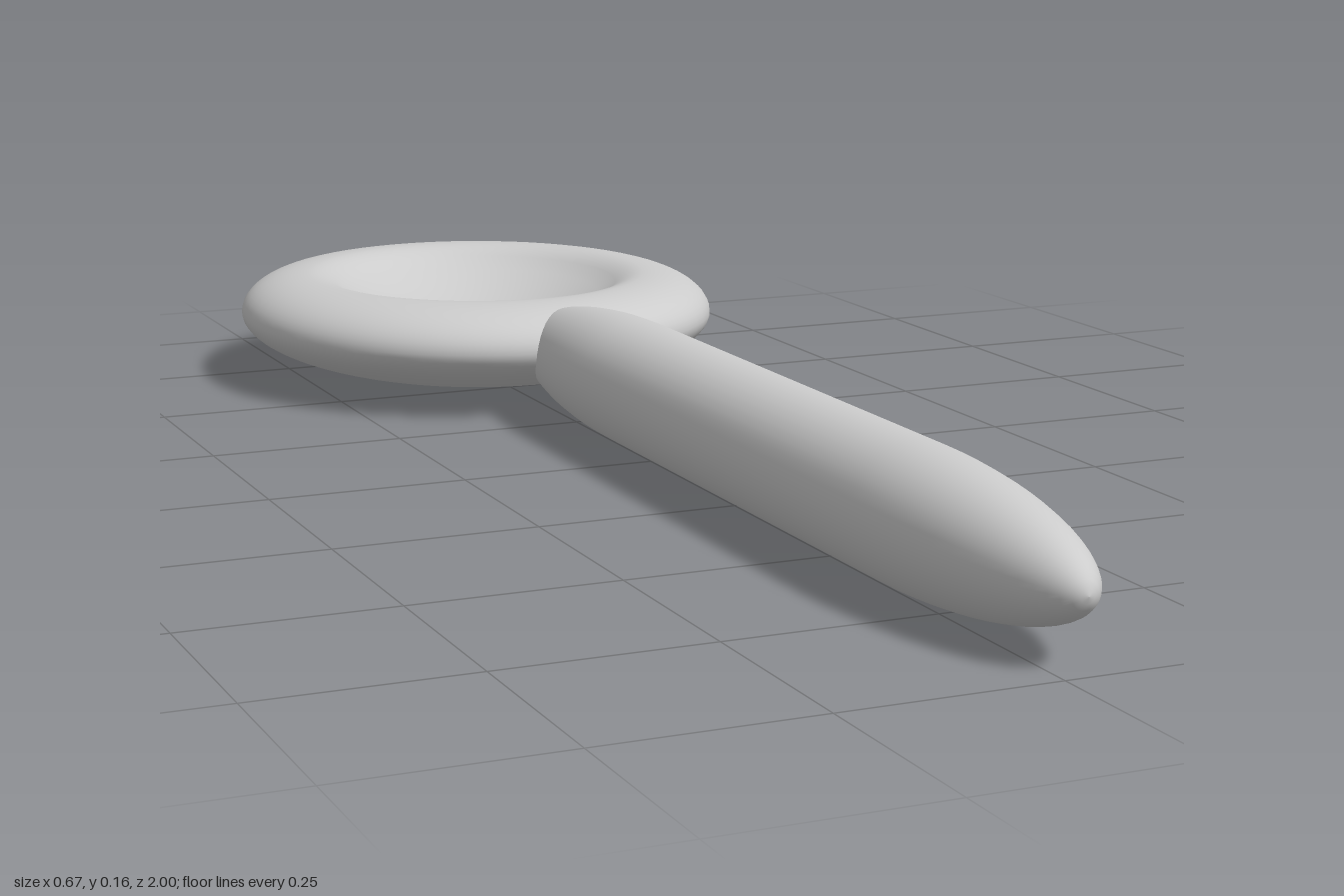
import * as THREE from 'three';

const material = new THREE.MeshStandardMaterial({ color: 0xcccccc });

// Points (radius, height) along part of an ellipse, angles in units of PI
function arc(cx, cy, rx, ry, from, to, steps) {
  return Array.from({ length: steps + 1 }, (_, i) => {
    const a = Math.PI * (from + (to - from) * i / steps);
    return new THREE.Vector2(Math.max(0, cx + rx * Math.cos(a)), cy + ry * Math.sin(a));
  });
}

function lathe(name, points, segments) {
  const mesh = new THREE.Mesh(new THREE.LatheGeometry(points, segments), material);
  mesh.name = name;
  return mesh;
}

export function createModel() {
  const model = new THREE.Group();
  model.name = 'spoon';

  // Bowl: shallow round underside, rolled rim and a hollow on top
  const R = 0.335, rimY = 0.093, crestR = 0.24, topY = 0.148, hollowR = 0.19;
  const profile = [
    ...arc(0, rimY, R, 0.091, -0.5, 0, 24),
    ...arc(crestR, rimY, R - crestR, topY - rimY, 0, 0.5, 12).slice(1),
  ];
  for (let i = 1; i <= 5; i++) {
    const t = i / 5;
    profile.push(new THREE.Vector2(crestR - t * (crestR - hollowR), topY - 0.021 * t * t));
  }
  for (let i = 1; i <= 12; i++) {
    const r = hollowR * (1 - i / 12);
    profile.push(new THREE.Vector2(r, 0.075 + 0.052 * (r / hollowR) ** 2));
  }
  const bowl = lathe('bowl', profile, 64);
  bowl.scale.z = 0.3625 / R;
  bowl.position.z = -0.6375;
  model.add(bowl);

  // Handle: straight rod with long rounded tapers at both ends
  const rod = [
    ...arc(0, -0.375, 0.081, 0.35, -0.5, 0, 16),
    ...arc(0, 0.375, 0.081, 0.35, 0, 0.5, 16),
  ];
  const handle = lathe('handle', rod, 40);
  handle.rotation.x = Math.PI / 2;
  handle.position.set(0.024, 0.083, 0.275);
  model.add(handle);

  return model;
}
